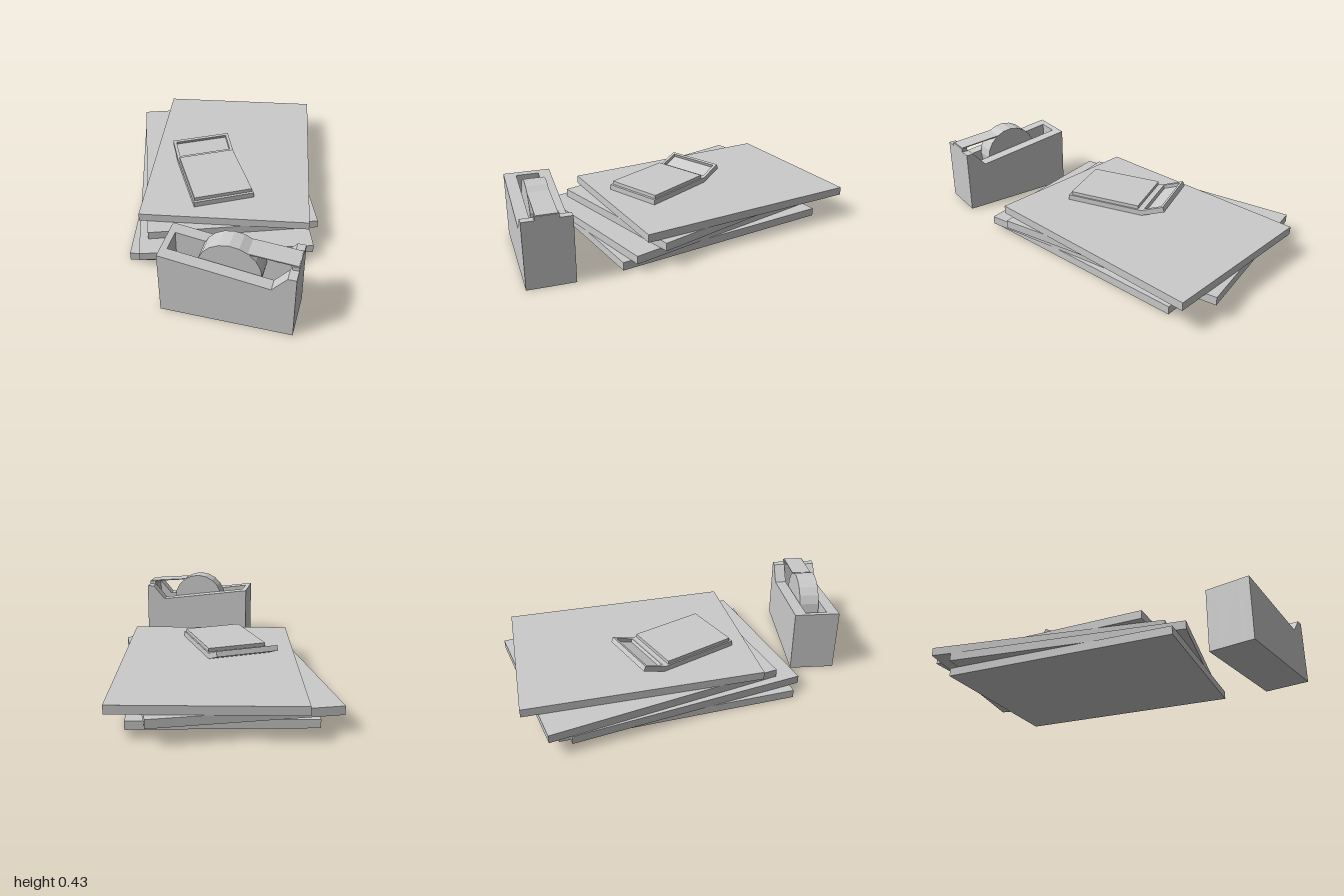
import * as THREE from 'three';

const material = new THREE.MeshStandardMaterial({ color: 0xcccccc, flatShading: true });

function addMesh(parent, name, geometry, x = 0, y = 0, z = 0) {
  const mesh = new THREE.Mesh(geometry, material);
  mesh.name = name;
  mesh.position.set(x, y, z);
  parent.add(mesh);
  return mesh;
}

function addGroup(parent, name, x, y, z, turn) {
  const group = new THREE.Group();
  group.name = name;
  group.position.set(x, y, z);
  group.rotation.y = turn;
  parent.add(group);
  return group;
}

const toShape = (points) => new THREE.Shape(points.map(([x, y]) => new THREE.Vector2(x, y)));

// Side profile extruded across z, centred on z = 0
function slab(points, depth) {
  return new THREE.ExtrudeGeometry(toShape(points), { depth, bevelEnabled: false })
    .translate(0, 0, -depth / 2);
}

// Four loosely stacked boards: centre x, centre z, turn
function buildStack(parent) {
  const stack = addGroup(parent, 'boardStack', 0, 0, 0, 0);
  const thickness = 0.045;
  const placements = [
    [-0.043, -0.168, -0.07],
    [-0.06, -0.166, 0.043],
    [-0.043, -0.298, 0.08],
    [0.022, -0.313, -0.109],
  ];
  placements.forEach(([x, z, turn], i) => {
    const board = addMesh(stack, `board${i + 1}`, new THREE.BoxGeometry(0.93, thickness, 1.283),
      x, (i + 0.5) * thickness, z);
    board.rotation.y = turn;
  });
}

// Desk calculator with a tilted, recessed display
function buildCalculator(parent) {
  const calculator = addGroup(parent, 'calculator', -0.108, 0.18, -0.103, 0.236);
  addMesh(calculator, 'calculatorBase', new THREE.BoxGeometry(0.345, 0.03, 0.452), 0, 0.015, 0.065);
  addMesh(calculator, 'keyPad', new THREE.BoxGeometry(0.329, 0.022, 0.41), 0, 0.039, 0.071);

  const display = addGroup(calculator, 'display', 0, 0, -0.161, 0);
  display.rotation.x = 0.37;
  const outline = toShape([[-0.1725, 0], [0.1725, 0], [0.1725, 0.14], [-0.1725, 0.14]]);
  outline.holes.push(new THREE.Path([[-0.155, 0.02], [-0.155, 0.125], [0.155, 0.125], [0.155, 0.02]]
    .map(([x, y]) => new THREE.Vector2(x, y))));
  addMesh(display, 'displayFrame', new THREE.ExtrudeGeometry(outline, { depth: 0.03, bevelEnabled: false })
    .rotateX(-Math.PI / 2));
  addMesh(display, 'screen', new THREE.BoxGeometry(0.32, 0.01, 0.11), 0, 0.0055, -0.0725);
}

// Weighted tape dispenser with an open well
function buildDispenser(parent) {
  const dispenser = addGroup(parent, 'tapeDispenser', -0.015, 0, 0.775, -0.289);
  const side = [[-0.334, 0], [0.334, 0], [0.334, 0.36], [0.292, 0.36], [0.219, 0.275], [-0.334, 0.355]];
  for (const s of [-1, 1]) {
    addMesh(dispenser, s > 0 ? 'frontWall' : 'backWall', slab(side, 0.065), 0, 0, s * 0.0925);
  }
  const well = [[-0.334, 0], [0.334, 0], [0.334, 0.36], [0.292, 0.36], [0.292, 0.1],
    [-0.302, 0.1], [-0.302, 0.35], [-0.334, 0.355]];
  addMesh(dispenser, 'well', slab(well, 0.12));

  // Roll, its loose strip and the cutter
  addMesh(dispenser, 'tapeRoll', new THREE.CylinderGeometry(0.16, 0.16, 0.11, 20).rotateX(Math.PI / 2), 0, 0.27, 0);
  const strip = [[0.09, 0.398], [0.33, 0.377], [0.33, 0.383], [0.09, 0.404]];
  addMesh(dispenser, 'tapeStrip', slab(strip, 0.11));
  addMesh(dispenser, 'cutter', new THREE.BoxGeometry(0.034, 0.02, 0.12), 0.317, 0.37, 0);
}

export function createModel() {
  const model = new THREE.Group();
  model.name = 'deskSet';
  buildStack(model);
  buildCalculator(model);
  buildDispenser(model);
  return model;
}
